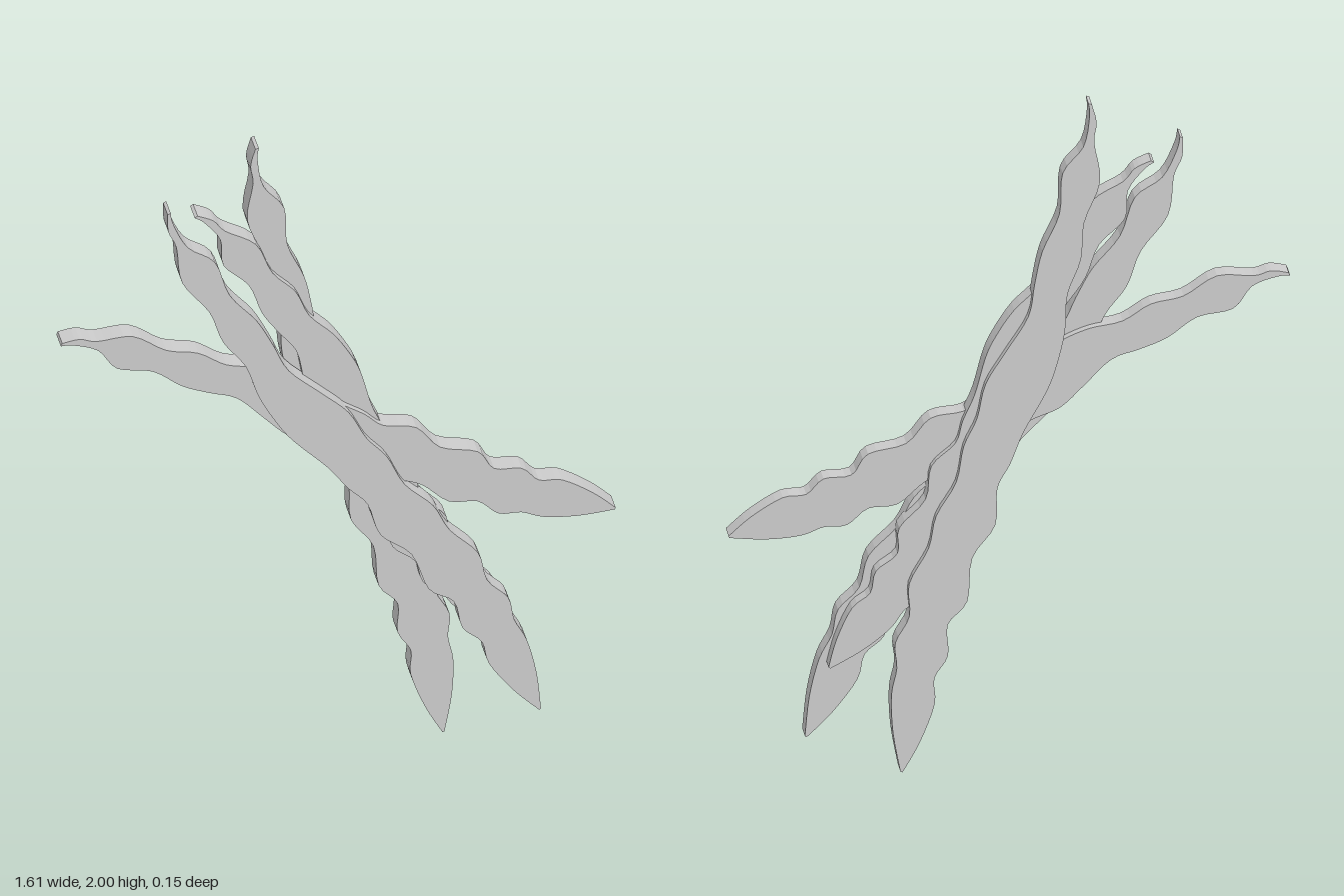
import * as THREE from 'three';

const THICK = 0.068;
const LENGTH = 2.07;

// Wavy edges of a pod: distance along the pod, offset across it
const EDGE_A = [
  [0, -0.004], [0.05, -0.032], [0.11, -0.041], [0.22, -0.088], [0.35, -0.076], [0.46, -0.096],
  [0.57, -0.086], [0.68, -0.108], [0.785, -0.112], [0.87, -0.104], [1.0, -0.072], [1.1, -0.06],
  [1.18, -0.043], [1.29, -0.066], [1.4, -0.028], [1.53, -0.048], [1.61, -0.012], [1.7, -0.037],
  [1.775, -0.017], [1.85, -0.038], [1.97, -0.027], [2.07, -0.002],
];
const EDGE_B = [
  [0, 0.006], [0.04, -0.008], [0.13, -0.014], [0.22, 0.023], [0.34, 0], [0.46, 0.018],
  [0.56, 0.014], [0.66, 0.006], [0.78, 0.042], [0.885, 0.072], [0.99, 0.069], [1.08, 0.084],
  [1.19, 0.077], [1.3, 0.106], [1.4, 0.102], [1.515, 0.128], [1.61, 0.102], [1.697, 0.12],
  [1.77, 0.096], [1.85, 0.09], [1.96, 0.056], [2.07, 0.004],
];

// One flat pod from its curled stem tip to its pointed end
function makePod(name, stem, tip, z, flip) {
  const dx = tip[0] - stem[0], dy = tip[1] - stem[1];
  const len = Math.hypot(dx, dy);
  const ux = dx / len, uy = dy / len;
  const place = ([s, t]) => {
    const a = (s * len) / LENGTH, b = t * flip;
    return new THREE.Vector2(stem[0] + ux * a - uy * b, stem[1] + uy * a + ux * b);
  };
  const smooth = (edge) => new THREE.SplineCurve(edge.map(place)).getPoints(84);
  const shape = new THREE.Shape([...smooth(EDGE_A), ...smooth(EDGE_B).reverse()]);
  const geometry = new THREE.ExtrudeGeometry(shape, { depth: THICK, bevelEnabled: false });
  const mesh = new THREE.Mesh(geometry, new THREE.MeshStandardMaterial({ color: 0xcccccc }));
  mesh.name = name;
  mesh.position.z = z - THICK / 2;
  return mesh;
}

export function createModel() {
  const group = new THREE.Group();
  group.name = 'podBundle';
  // Two long pods outside, two shorter mirrored pods between them
  group.add(
    makePod('backPod', [-0.23, 2.0], [0.31, 0], -0.039, 1),
    makePod('innerBackPod', [-0.41, 1.81], [0.515, 0.315], -0.013, -1),
    makePod('innerFrontPod', [-0.805, 1.445], [0.8, 0.715], 0.01, -1),
    makePod('frontPod', [-0.5, 1.86], [0.575, 0.09], 0.039, 1),
  );
  return group;
}
